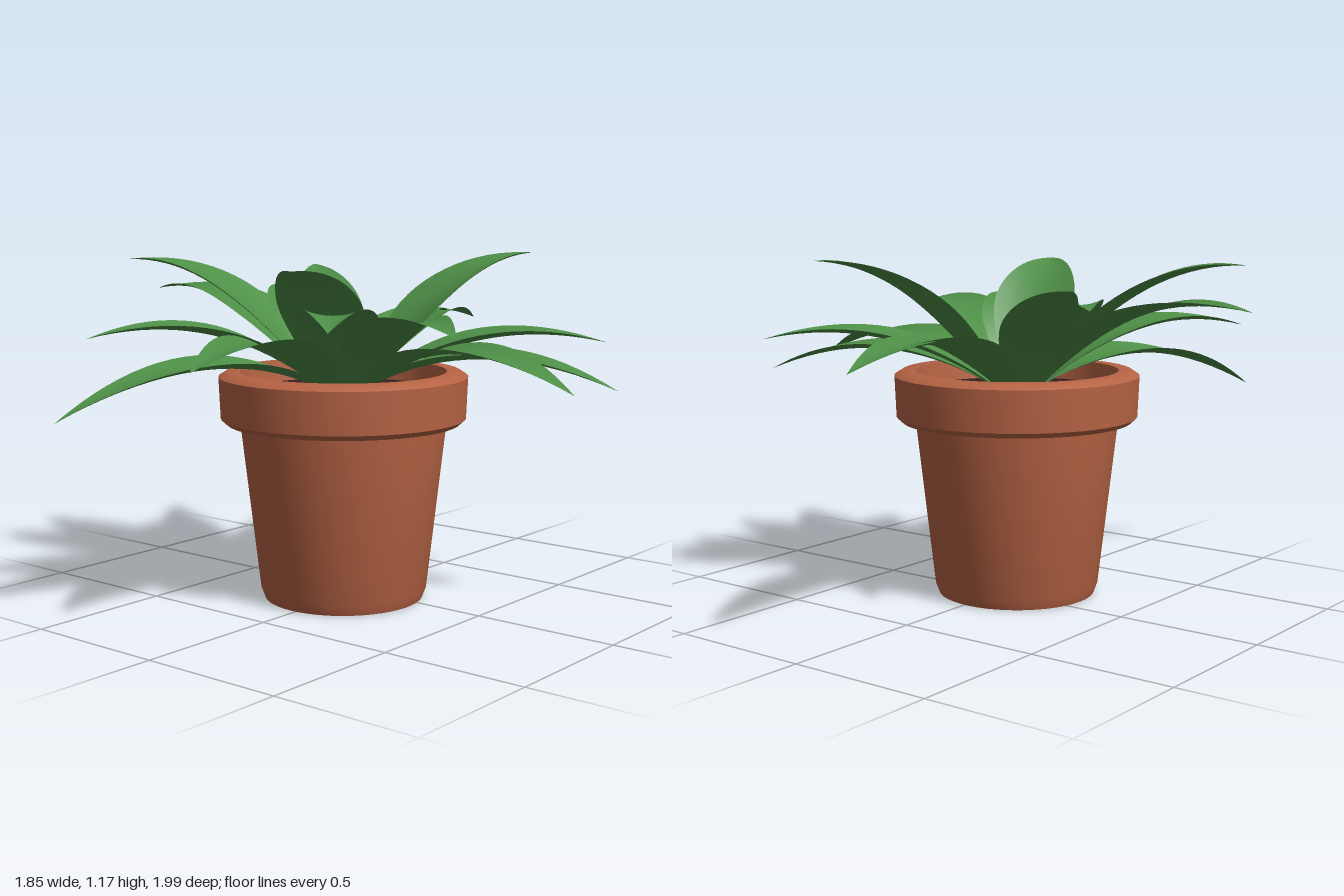
import * as THREE from 'three';
import { toCreasedNormals } from 'three/addons/utils/BufferGeometryUtils.js';

const CX = -0.017, CZ = 0.07; // axis of the pot

// A pointed, slightly cupped blade swept along an arch from the crown to its tip
function leafGeometry(tipX, tipZ, tipY, midY, width, sway = 0) {
  const rows = 20, cols = 8;
  const dir = new THREE.Vector3(tipX - CX, 0, tipZ - CZ);
  const length = dir.length();
  dir.normalize();
  const side = new THREE.Vector3(dir.z, 0, -dir.x);
  const baseY = 0.72;
  const start = new THREE.Vector3(CX, baseY, CZ).addScaledVector(dir, 0.075);
  const bend = new THREE.Vector3(CX, 2 * midY - (baseY + tipY) / 2, CZ)
    .addScaledVector(dir, 0.08 + (length - 0.08) * 0.45)
    .addScaledVector(side, sway);
  const arch = new THREE.QuadraticBezierCurve3(start, bend, new THREE.Vector3(tipX, tipY, tipZ));
  const positions = [], index = [];
  for (let i = 0; i <= rows; i++) {
    const t = i / rows;
    const p = arch.getPoint(t);
    const up = new THREE.Vector3().crossVectors(arch.getTangent(t), side).normalize();
    const spread = t < 0.42
      ? 0.3 + 0.7 * Math.sin((t / 0.42) * Math.PI / 2)
      : 1 - Math.pow((t - 0.42) / 0.58, 1.6);
    const half = Math.max(spread, 0.004) * width / 2;
    for (let j = 0; j <= cols; j++) {
      const s = (j / cols) * 2 - 1;
      const q = p.clone().addScaledVector(side, s * half).addScaledVector(up, (s * s - 0.3) * half * 0.2);
      positions.push(q.x, q.y, q.z);
      if (i < rows && j < cols) {
        const a = i * (cols + 1) + j, b = a + cols + 1;
        index.push(a, a + 1, b, a + 1, b + 1, b);
      }
    }
  }
  const g = new THREE.BufferGeometry();
  g.setAttribute('position', new THREE.Float32BufferAttribute(positions, 3));
  g.setIndex(index);
  g.computeVertexNormals();
  return g;
}

export function createModel() {
  const model = new THREE.Group();
  model.name = 'pottedPlant';

  const terracotta = new THREE.MeshStandardMaterial({ color: 0xb66344 });
  terracotta.name = 'terracotta';
  const leafGreen = new THREE.MeshStandardMaterial({ color: 0x4e8f47, side: THREE.DoubleSide });
  leafGreen.name = 'leafGreen';
  const soilBrown = new THREE.MeshStandardMaterial({ color: 0x342021 });
  soilBrown.name = 'soilBrown';

  // Pot: tapered body, overhanging chamfered rim and inner wall in one turned profile
  const profile = [
    [0, 0], [0.272, 0], [0.285, 0.035], [0.35, 0.602], [0.396, 0.604],
    [0.416, 0.622], [0.422, 0.763], [0.396, 0.78], [0.35, 0.78], [0.335, 0.64],
  ].map(([r, y]) => new THREE.Vector2(r, y));
  const pot = new THREE.Mesh(toCreasedNormals(new THREE.LatheGeometry(profile, 48), 0.6), terracotta);
  pot.name = 'pot';
  pot.position.set(CX, 0, CZ);
  model.add(pot);

  // Soil
  const soil = new THREE.Mesh(new THREE.CylinderGeometry(0.343, 0.338, 0.04, 48), soilBrown);
  soil.name = 'soil';
  soil.position.set(CX, 0.69, CZ);
  model.add(soil);

  // Leaves: tip x, tip z, tip y, height halfway along, width, sideways sway
  const leaves = [
    [-0.22, -0.995, 0.88, 0.92, 0.25],
    [-0.18, -0.76, 0.92, 0.91, 0.23],
    [0.33, -0.56, 1.165, 1.05, 0.31],
    [0.70, -0.44, 0.88, 0.895, 0.28],
    [0.86, -0.24, 0.75, 0.845, 0.27],
    [0.92, 0.13, 0.78, 0.88, 0.28],
    [0.71, 0.44, 0.96, 0.965, 0.27],
    [0.32, 0.55, 0.96, 0.98, 0.27],
    [0.18, 0.56, 1.14, 1.03, 0.29],
    [0.11, 0.92, 0.86, 0.91, 0.28],
    [-0.41, 0.995, 0.67, 0.82, 0.29],
    [-0.50, 0.78, 0.91, 0.92, 0.29],
    [-0.73, 0.38, 1.145, 1.05, 0.29],
    [-0.93, 0.05, 1.02, 0.99, 0.28],
    [-0.60, -0.46, 1.10, 0.985, 0.24],
    [-0.50, -0.20, 1.02, 0.99, 0.27, 0.08],
  ];
  const foliage = new THREE.Group();
  foliage.name = 'foliage';
  leaves.forEach((leaf, i) => {
    const mesh = new THREE.Mesh(leafGeometry(...leaf), leafGreen);
    mesh.name = 'leaf' + (i + 1);
    foliage.add(mesh);
  });
  model.add(foliage);

  return model;
}
